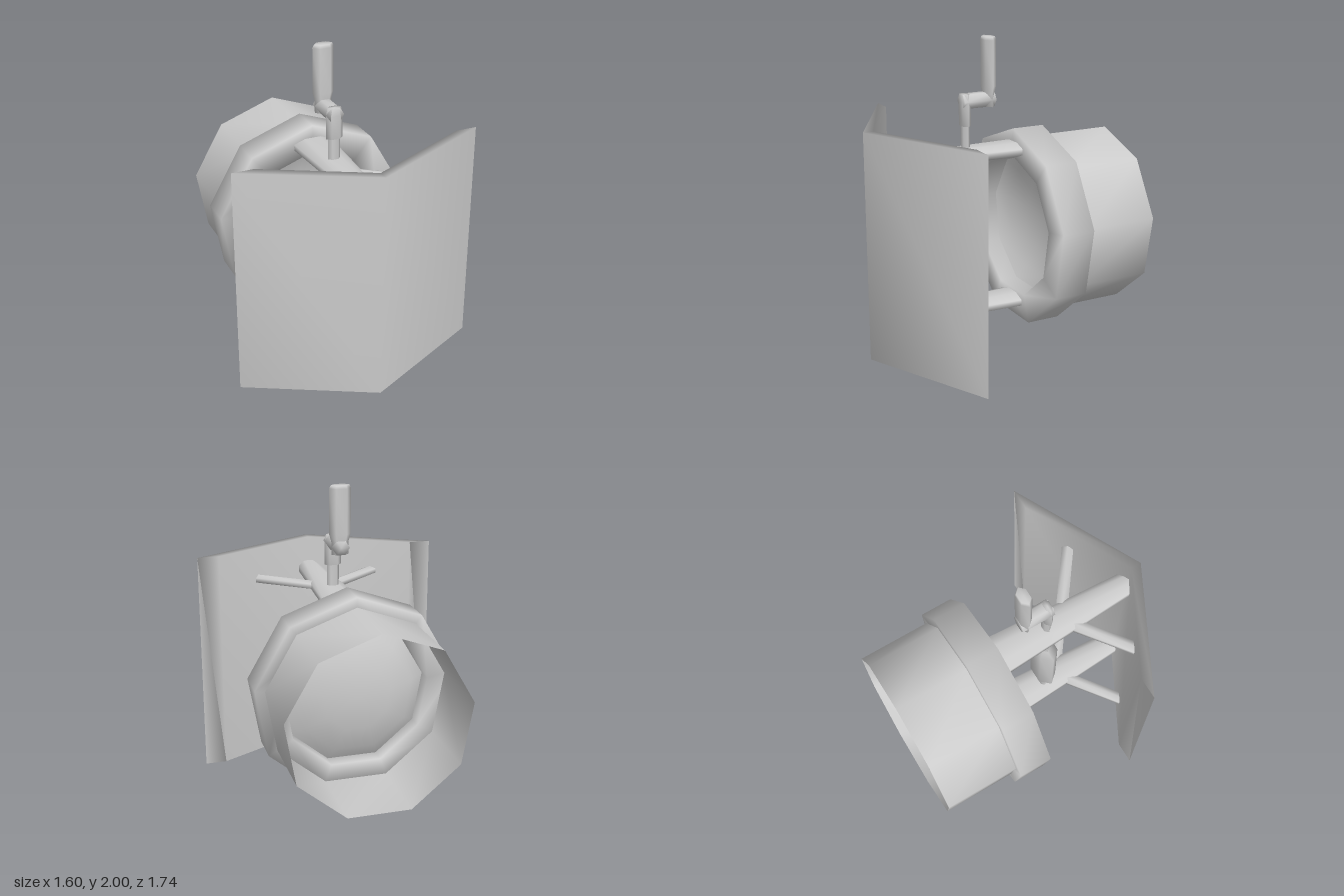
import * as THREE from 'three';
import { mergeVertices } from 'three/addons/utils/BufferGeometryUtils.js';

const CX = -0.03;  // axis of the lamp and beams
const CY = 0.743;  // centre height of the lens housing

const material = new THREE.MeshStandardMaterial({ color: 0xcccccc });
const thinMaterial = new THREE.MeshStandardMaterial({ color: 0xcccccc, side: THREE.DoubleSide });

// Weld corners so that normals run smoothly over the whole part
function smooth(geometry) {
  geometry.deleteAttribute('normal');
  geometry.deleteAttribute('uv');
  const welded = mergeVertices(geometry, 1e-4);
  welded.computeVertexNormals();
  return welded;
}

// Turned part with its axis along y
function turned(profile, sides) {
  return new THREE.LatheGeometry(profile.map(([r, y]) => new THREE.Vector2(r, y)), sides);
}

// Turned part facing backwards, first corner at the top; profile is [radius, -z]
function housing(profile) {
  return smooth(turned(profile, 9).rotateX(-Math.PI / 2).translate(CX, CY, 0));
}

// Flattened six-sided rod along y; profile is [half width in x, y]
function hexRod(profile, flatness) {
  const last = profile[profile.length - 1];
  const closed = [[0, profile[0][1]], ...profile, [0, last[1]]];
  return turned(closed, 6).rotateY(Math.PI / 2).scale(1, 1, flatness / 0.866);
}

export function createModel() {
  const model = new THREE.Group();
  const add = (name, geometry, mat = material) => {
    const mesh = new THREE.Mesh(geometry, mat);
    mesh.name = name;
    model.add(mesh);
  };

  // V-shaped shield
  const outline = [[-0.8, 0.455], [CX, 0.865], [0.8, 0.455], [0.66, 0.455], [CX, 0.797], [-0.66, 0.455]];
  const vShape = new THREE.Shape(outline.map(([x, z]) => new THREE.Vector2(x, -z)));
  const shield = new THREE.ExtrudeGeometry(vShape, { depth: 1.48, bevelEnabled: false });
  add('shield', smooth(shield.rotateX(-Math.PI / 2)));

  // Lens housing: ring, open hood and domed lens
  add('lensRing', housing([[0.47, 0.16], [0.652, 0.16], [0.652, 0.38], [0.47, 0.38], [0.47, 0.16]]));
  add('hood', housing([[0.588, 0.375], [0.588, 0.87]]), thinMaterial);
  add('lens', housing([[0.475, 0.28], [0.38, 0.34], [0.22, 0.39], [0, 0.41]]), thinMaterial);

  // Upper and lower beams with their braces
  for (const [level, y] of [['upper', 1.265], ['lower', 0.237]]) {
    const beam = new THREE.CylinderGeometry(1, 1, 1, 8, 1, false, Math.PI / 8).rotateX(Math.PI / 2);
    const p = beam.attributes.position;
    for (let i = 0; i < p.count; i++) {
      const front = p.getZ(i) > 0;
      const halfWidth = front ? 0.073 : 0.132;
      p.setXYZ(i, CX + p.getX(i) / 0.924 * halfWidth, y + p.getY(i) / 0.924 * 0.047, front ? 0.81 : -0.2);
    }
    add(level + 'Beam', smooth(beam));

    for (const side of [-1, 1]) {
      const start = new THREE.Vector3(CX + side * 0.06, y, 0.34);
      const end = new THREE.Vector3(CX + side * 0.4, y, 0.595);
      const axis = end.clone().sub(start);
      const brace = new THREE.CylinderGeometry(0.043, 0.043, axis.length(), 6);
      brace.scale(1, 1, 0.8).rotateZ(Math.PI / 2).rotateX(Math.PI / 2);
      brace.scale(1, 0.85, 1);
      brace.rotateY(Math.atan2(-axis.z, axis.x));
      brace.translate((start.x + end.x) / 2, y, (start.z + end.z) / 2);
      add(level + 'Brace', smooth(brace));
    }
  }

  // Spindle with its thick middle sleeve
  const rodX = -0.036;
  const place = (geometry, z) => smooth(geometry.translate(rodX, 0, z));
  add('spindle', place(hexRod([[0.04, 0.105], [0.04, 1.47]], 0.55), 0.18));
  add('spindleSleeve', place(hexRod([[0.115, 0.5], [0.115, 0.96]], 0.56), 0.18));

  // Crank: lower socket, arm and upright grip
  add('crankSocket', place(hexRod([[0.056, 1.45], [0.056, 1.6], [0.045, 1.65]], 0.5), 0.182));
  const arm = hexRod([[0.056, -0.015], [0.056, 0.205]], 0.8).rotateX(Math.PI / 2);
  add('crankArm', smooth(arm.translate(rodX, 1.605, 0)));
  add('crankGrip', place(hexRod([[0.056, 1.56], [0.056, 1.64], [0.07, 1.69], [0.07, 1.98], [0.06, 2]], 0.53), 0.016));

  return model;
}
